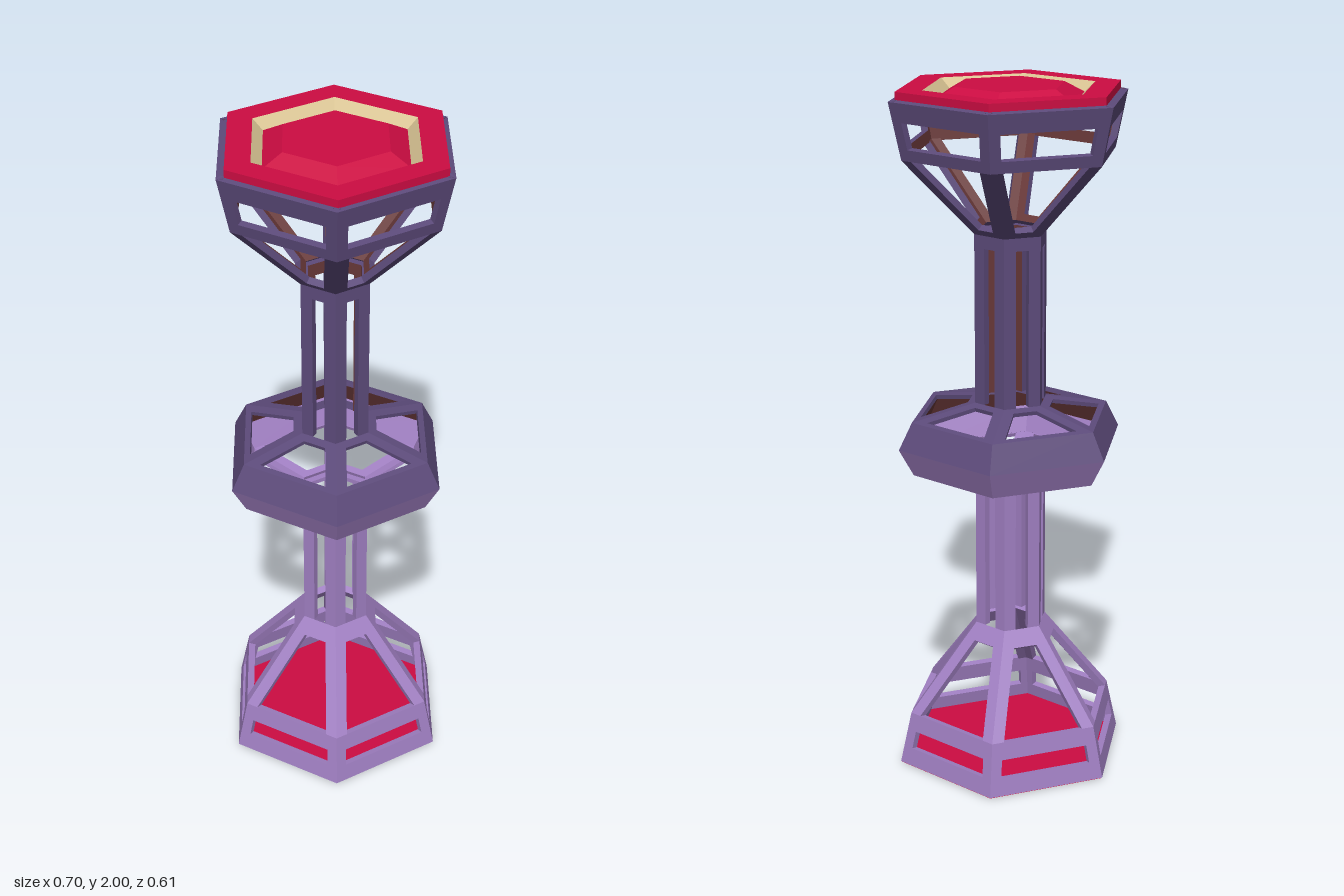
import * as THREE from 'three';

const mat = (name, color) => {
  const m = new THREE.MeshStandardMaterial({ color });
  m.name = name;
  return m;
};

// Point on a hexagon corner k, with corners on the x axis
const corner = (k, [y, r]) =>
  new THREE.Vector3(r * Math.cos(k * Math.PI / 3), y, r * Math.sin(k * Math.PI / 3));

// Collects quads into a flat-shaded geometry
function quadGeometry(quads) {
  const pos = [];
  for (const [a, b, c, d] of quads)
    for (const p of [a, b, c, a, c, d]) pos.push(p.x, p.y, p.z);
  const g = new THREE.BufferGeometry();
  g.setAttribute('position', new THREE.Float32BufferAttribute(pos, 3));
  g.computeVertexNormals();
  return g;
}

// Gives a quad thickness; its back face goes to a separate list
function slab(quad, t, outer, inner) {
  const n = quad[1].clone().sub(quad[0]).cross(quad[3].clone().sub(quad[0])).normalize();
  const back = quad.map(p => p.clone().addScaledVector(n, -t));
  outer.push(quad);
  inner.push([back[3], back[2], back[1], back[0]]);
  for (let i = 0; i < 4; i++) {
    const j = (i + 1) % 4;
    outer.push([quad[i], back[i], back[j], quad[j]]);
  }
}

// Six framed panels between two hexagon levels.
// lo, hi: bar heights as fractions; side: corner bar width; solid: no opening
function section(name, low, high, { lo = 0, hi = 0, side = 0.03, solid = false, t = 0.02 }, outerMat, innerMat) {
  const outer = [], inner = [];
  for (let k = 0; k < 6; k++) {
    const L0 = corner(k + 1, low), R0 = corner(k, low);
    const L1 = corner(k + 1, high), R1 = corner(k, high);
    const P = (u, v) => L0.clone().lerp(L1, v).lerp(R0.clone().lerp(R1, v), u);
    const width = v => low[1] + (high[1] - low[1]) * v;
    const bar = (u0, u1, w0, w1, v0, v1) =>
      slab([P(u0, v0), P(u1, v0), P(w1, v1), P(w0, v1)], t, outer, inner);
    if (solid) { bar(0, 1, 0, 1, 0, 1); continue; }
    if (lo) bar(0, 1, 0, 1, 0, lo);
    if (hi) bar(0, 1, 0, 1, 1 - hi, 1);
    const a = side / width(lo), b = side / width(1 - hi);
    bar(0, a, 0, b, lo, 1 - hi);
    bar(1 - a, 1, 1 - b, 1, lo, 1 - hi);
  }
  const group = new THREE.Group();
  group.name = name;
  const add = (part, quads, m) => {
    const mesh = new THREE.Mesh(quadGeometry(quads), m);
    mesh.name = name + part;
    group.add(mesh);
  };
  add('Frame', outer, outerMat);
  add('InnerFaces', inner, innerMat);
  return group;
}

// Six-sided turned part with sharp edges
function hexTurned(name, profile, material) {
  const pts = profile.map(([r, y]) => new THREE.Vector2(r, y));
  const g = new THREE.LatheGeometry(pts, 6, Math.PI / 6).toNonIndexed();
  g.computeVertexNormals();
  const mesh = new THREE.Mesh(g, material);
  mesh.name = name;
  return mesh;
}

export function createModel() {
  const lilac = mat('lilac', 0xa07fc2);
  const plum = mat('dark plum', 0x5d4b7b);
  const brown = mat('reddish brown', 0x683838);
  const red = mat('crimson', 0xcc0c42);
  const tan = mat('tan', 0xd9c493);
  const model = new THREE.Group();
  model.name = 'hexagonalLatticeTower';

  // Hexagon levels: [height, corner radius]
  const foot = [0.002, 0.35], footTop = [0.157, 0.315];
  const neckA = [0.42, 0.108], neckB = [0.855, 0.108];
  const ringLow = [0.905, 0.295], ringMid = [0.985, 0.338], ringTop = [1.063, 0.298];
  const neckC = [1.102, 0.108], neckD = [1.555, 0.108];
  const neckE = [1.592, 0.108];
  const headLow = [1.81, 0.315], headTop = [1.97, 0.35];

  // Lower, lighter half
  model.add(
    section('foot', foot, footTop, { lo: 0.33, hi: 0.33, side: 0.032 }, lilac, lilac),
    section('lowerStruts', footTop, neckA, { hi: 0.17, side: 0.036 }, lilac, lilac),
    section('lowerPosts', neckA, neckB, { hi: 0.03, side: 0.035 }, lilac, lilac),
    section('lowerSpokes', neckB, ringLow, { lo: 0.12, hi: 0.1, side: 0.034, t: 0.012 }, lilac, lilac),
    section('ringLowerHalf', ringLow, ringMid, { solid: true }, lilac, lilac));

  // Upper, darker half
  model.add(
    section('ringUpperHalf', ringMid, ringTop, { solid: true }, plum, brown),
    section('upperSpokes', ringTop, neckC, { lo: 0.1, hi: 0.15, side: 0.034, t: 0.012 }, plum, brown),
    section('upperPosts', neckC, neckD, { side: 0.035 }, plum, brown),
    section('collar', neckD, neckE, { solid: true }, plum, brown),
    section('upperStruts', neckE, headLow, { lo: 0.08, side: 0.036 }, plum, brown),
    section('head', headLow, headTop, { lo: 0.2, hi: 0.34, side: 0.032 }, plum, brown));

  // Floor plate in the foot
  model.add(hexTurned('floorPlate', [[0, 0], [0.348, 0], [0.345, 0.008], [0, 0.008]], red));

  // Lid with a sloped recess and a raised faceted centre
  const lid = new THREE.Group();
  lid.name = 'lid';
  lid.position.z = 0.005;
  lid.add(
    hexTurned('lidPlate', [[0, 1.955], [0.322, 1.955], [0.329, 1.97], [0.329, 1.995], [0.252, 1.995]], red),
    hexTurned('recessWall', [[0.252, 1.995], [0.218, 1.966]], tan),
    hexTurned('centreFacets', [[0.224, 1.966], [0.16, 2], [0, 2]], red));
  model.add(lid);
  return model;
}
